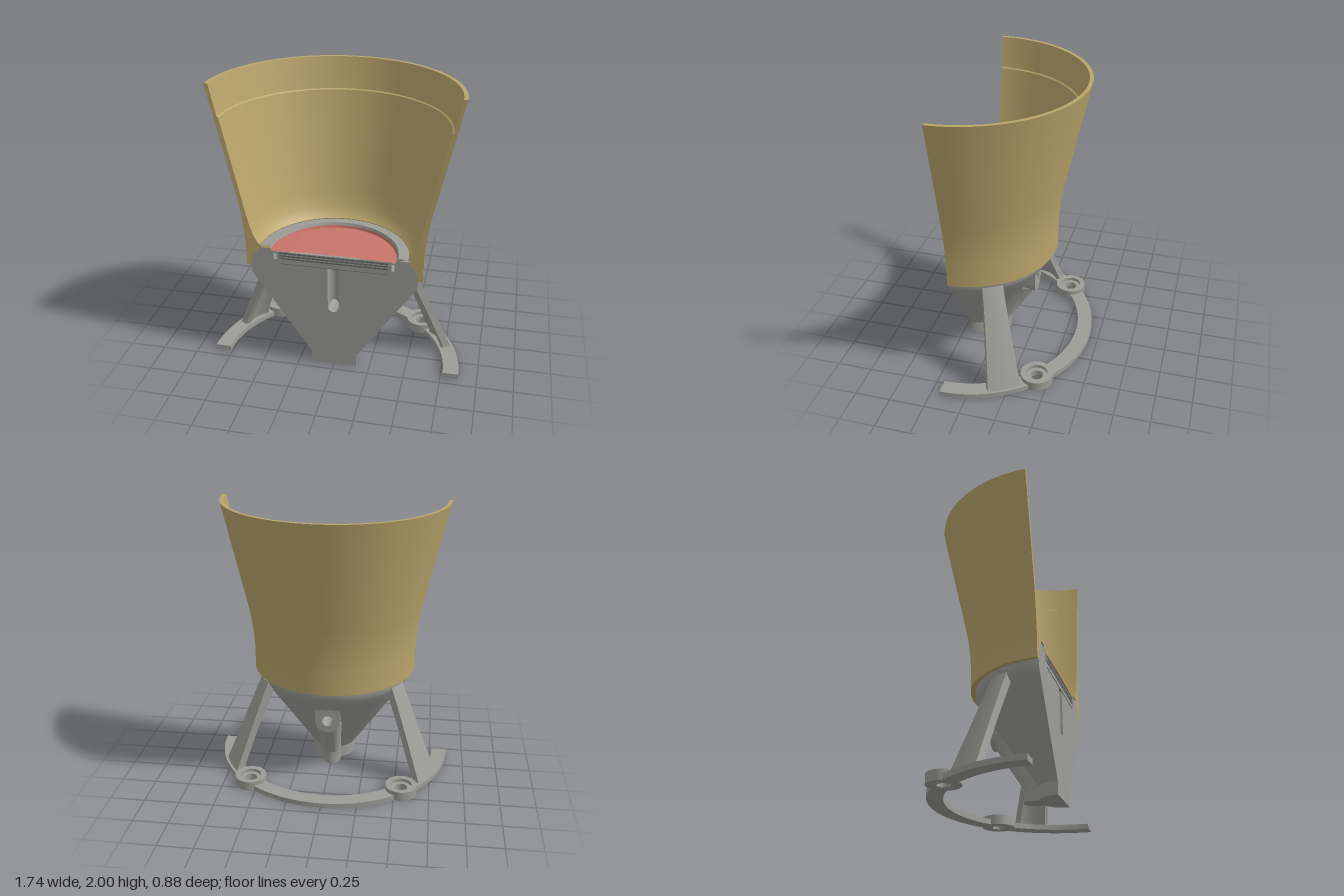
import * as THREE from 'three';
import { toCreasedNormals } from 'three/addons/utils/BufferGeometryUtils.js';

const paint = (name, color) => {
  const m = new THREE.MeshStandardMaterial({ color, side: THREE.DoubleSide });
  m.name = name;
  return m;
};

export function createModel() {
  const tan = paint('tan', 0xbaa56b);
  const gray = paint('gray', 0x9c9c98);
  const darkGray = paint('dark gray', 0x6a6a67);
  const red = paint('red', 0xc8746a);

  const model = new THREE.Group();
  model.name = 'hopperHalfSection';
  const core = new THREE.Group(); // origin on the axis of revolution, cut plane at z = 0
  core.name = 'assembly';
  core.position.z = 0.435;
  model.add(core);

  const add = (name, geo, mat, crease = 0.5) => {
    const mesh = new THREE.Mesh(toCreasedNormals(geo, crease), mat);
    mesh.name = name;
    core.add(mesh);
    return mesh;
  };
  const vecs = pts => pts.map(([x, y]) => new THREE.Vector2(x, y));
  // Revolve a profile behind the cut plane
  const revolve = (pts, start = Math.PI / 2, sweep = Math.PI, segs = 56) =>
    new THREE.LatheGeometry(vecs(pts), segs, start, sweep);
  const circle = (x, y, r) => new THREE.Path().absarc(x, y, r, 0, Math.PI * 2, false);
  // Skin stacked cross-sections and close both ends
  const loft = sections => {
    const n = sections[0].length, pos = [], idx = [];
    sections.forEach(s => s.forEach(p => pos.push(...p)));
    for (let j = 0; j < sections.length - 1; j++)
      for (let i = 0; i < n; i++) {
        const a = j * n + i, b = j * n + (i + 1) % n;
        idx.push(a, b, b + n, a, b + n, a + n);
      }
    const top = (sections.length - 1) * n;
    for (let i = 1; i < n - 1; i++) idx.push(0, i + 1, i, top, top + i, top + i + 1);
    const g = new THREE.BufferGeometry();
    g.setAttribute('position', new THREE.Float32BufferAttribute(pos, 3));
    g.setIndex(idx);
    return g;
  };

  // Flared hopper shell and its cut faces
  const shell = [
    [0.565, 0.74], [0.602, 0.74], [0.602, 0.9], [0.608, 1.0], [0.62, 1.11], [0.642, 1.23], [0.813, 2],
    [0.787, 2], [0.742, 1.787], [0.732, 1.78], [0.728, 1.762], [0.585, 1.1], [0.567, 1.03],
    [0.545, 0.965], [0.52, 0.92], [0.5, 0.9], [0.51, 0.875], [0.553, 0.81], [0.565, 0.74],
  ];
  add('hopperShell', revolve(shell), tan, 0.4);
  for (const s of [-1, 1])
    add('hopperCutFace', new THREE.ShapeGeometry(new THREE.Shape(vecs(shell.map(([x, y]) => [s * x, y])))), tan)
      .scale.z = 1;

  // Conical body, left open behind the rear boss so the hole runs through
  const lower = [[0, 0], [0.16, 0], [0.16, 0.09], [0.485, 0.565]];
  const upper = [
    [0.485, 0.565], [0.55, 0.66], [0.565, 0.69], [0.57, 0.74], [0.553, 0.81],
    [0.51, 0.875], [0.5, 0.895], [0.432, 0.9], [0.425, 0.88],
  ];
  const gap = 0.15;
  add('bodyCone', revolve(lower, Math.PI / 2, Math.PI / 2 - gap, 28), gray);
  add('bodyCone', revolve(lower, Math.PI + gap, Math.PI / 2 - gap, 28), gray);
  add('bodyCollar', revolve(upper), gray);

  // Flat cut face of the body with slot and clamp grooves
  const half = [...lower.slice(1), ...upper.slice(1, 6), [0.5, 0.88], [0.425, 0.88], [0.425, 0.862]];
  const face = new THREE.Shape(vecs([...half, ...half.map(([x, y]) => [-x, y]).reverse()]));
  const slot = new THREE.Path();
  slot.moveTo(0.04, 0.77);
  slot.lineTo(0.04, 0.47);
  slot.absarc(0, 0.47, 0.04, 0, -Math.PI, true);
  slot.lineTo(-0.04, 0.77);
  slot.closePath();
  face.holes.push(slot);
  for (const s of [-1, 1])
    face.holes.push(new THREE.Path(vecs([[s * 0.39, 0.8], [s * 0.41, 0.8], [s * 0.41, 0.85], [s * 0.39, 0.85]])));
  add('bodyCutFace', new THREE.ShapeGeometry(face, 24), gray);
  add('clampGroove', revolve([[0.39, 0.8], [0.41, 0.8], [0.41, 0.85], [0.39, 0.85], [0.39, 0.8]]), gray);

  // Vertical channel, trimmed to meet the horizontal hole
  const channel = revolve([[0.04, 0.47], [0.04, 0.77], [0, 0.77]], Math.PI / 2, Math.PI, 24);
  const cp = channel.attributes.position;
  for (let i = 0; i < cp.count; i++)
    if (cp.getY(i) < 0.5) cp.setY(i, 0.47 + Math.abs(cp.getZ(i)));
  add('drainChannel', channel, gray);
  const bore = new THREE.CylinderGeometry(0.04, 0.04, 0.47, 32, 1, true);
  bore.rotateX(Math.PI / 2).translate(0, 0.47, -0.235);
  const bp = bore.attributes.position;
  for (let i = 0; i < bp.count; i++)
    if (bp.getZ(i) > -0.1) bp.setZ(i, -Math.max(0, bp.getY(i) - 0.47));
  add('drainBore', bore, gray);

  // Rear boss around the bore
  const bossShape = new THREE.Shape();
  bossShape.moveTo(0.09, 0.6);
  bossShape.lineTo(-0.09, 0.6);
  bossShape.lineTo(-0.09, 0.47);
  bossShape.absarc(0, 0.47, 0.09, Math.PI, Math.PI * 2, false);
  bossShape.closePath();
  bossShape.holes.push(circle(0, 0.47, 0.04));
  const boss = new THREE.ExtrudeGeometry(bossShape, { depth: 0.27, bevelEnabled: false, curveSegments: 24 });
  add('rearBoss', boss.translate(0, 0, -0.47), gray);

  // Rounded rib running from the boss down to the foot of the cone
  const ribSection = ([y, reach, w]) => {
    const pts = [[w, y, 0]];
    for (let i = 0; i <= 12; i++) {
      const a = Math.PI * i / 12;
      pts.push([w * Math.cos(a), y, -(reach - w) - w * Math.sin(a)]);
    }
    pts.push([-w, y, 0]);
    return pts;
  };
  add('rearRib', loft([[0, 0.265, 0.065], [0.1, 0.265, 0.065], [0.4, 0.458, 0.09], [0.425, 0.468, 0.09]].map(ribSection)), gray);

  // Red diaphragm with its short rim
  add('diaphragm', revolve([[0.425, 0.882], [0.42, 0.864], [0.3, 0.868], [0.15, 0.872], [0, 0.874]]), red);

  // Layered support plate at the cut
  const strip = (name, y, h, w, mat) =>
    add(name, new THREE.BoxGeometry(w, h, 0.006).translate(0, y, 0), mat);
  for (const y of [0.812, 0.832, 0.852]) strip('plateLayer', y, 0.01, 0.74, darkGray);
  strip('plateLowerEdge', 0.772, 0.004, 0.73, darkGray);

  // Half-ring base with bolt holes
  const bolts = [-1, 1].map(s => [s * 0.55, 0.605]);
  const flat = (shape, y, depth) =>
    new THREE.ExtrudeGeometry(shape, { depth, bevelEnabled: false, curveSegments: 48 })
      .rotateX(-Math.PI / 2).translate(0, y, 0);
  const ring = new THREE.Shape();
  ring.absarc(0, 0, 0.872, 0, Math.PI, false);
  ring.absarc(0, 0, 0.765, Math.PI, 0, true);
  ring.closePath();
  bolts.forEach(([x, s]) => ring.holes.push(circle(x, s, 0.045)));
  add('baseRing', flat(ring, 0, 0.036), gray);

  // Counterbored bolt bosses
  for (const [x, s] of bolts)
    for (const [hole, y, h] of [[0.045, 0, 0.044], [0.075, 0.044, 0.024]]) {
      const pad = new THREE.Shape().absarc(x, s, 0.113, 0, Math.PI * 2, false);
      pad.holes.push(circle(x, s, hole));
      add('boltBoss', flat(pad, y, h), gray);
    }

  // Two tapered legs, hollowed on the inner side
  const legSection = ([y, r, w, t]) => [
    [-1, 0], [-0.5, 0.1], [0, 0.13], [0.5, 0.1], [1, 0],
    [1, -0.8], [0.8, -1], [0.5, -0.75], [0, -0.6], [-0.5, -0.75], [-0.8, -1], [-1, -0.8],
  ].map(([u, v]) => [r + v * t, y, u * w]);
  for (const angle of [30, 150]) {
    const leg = loft([[0.015, 0.852, 0.122, 0.075], [0.06, 0.835, 0.113, 0.065], [0.35, 0.712, 0.09, 0.065],
      [0.6, 0.606, 0.075, 0.07], [0.7, 0.562, 0.072, 0.08]].map(legSection));
    add('leg', leg.rotateY(THREE.MathUtils.degToRad(angle)), gray);
  }

  return model;
}
